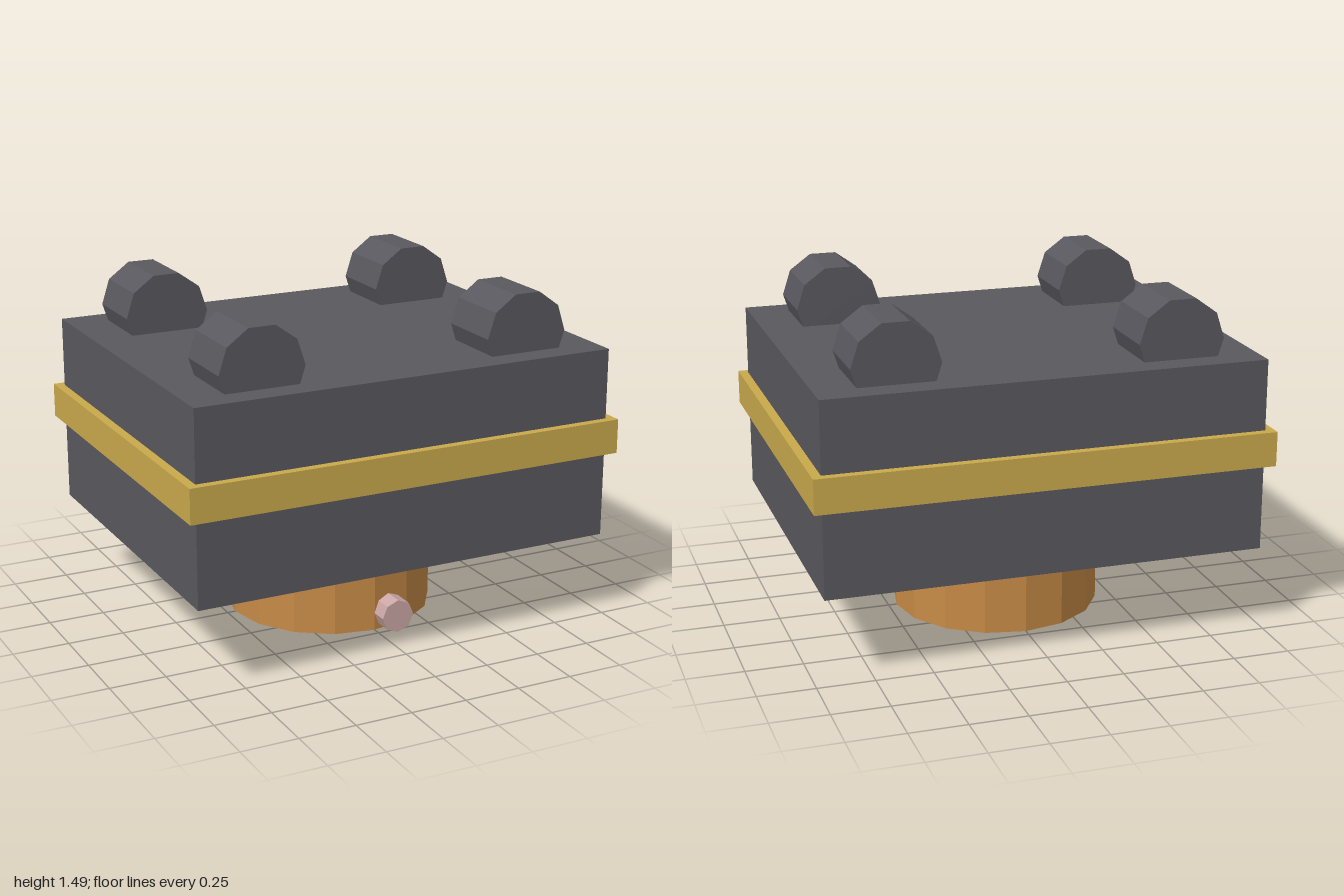
import * as THREE from 'three';

export function createModel() {
  const group = new THREE.Group();
  const material = (name, color) => {
    const m = new THREE.MeshStandardMaterial({ color });
    m.name = name;
    return m;
  };
  const grey = material('dark grey', 0x59585e);
  const gold = material('gold', 0xc9a94c);
  const bronze = material('bronze', 0xc68a46);
  const pink = material('dusty pink', 0xcba6a6);

  const add = (name, geometry, mat, x, y, z) => {
    const mesh = new THREE.Mesh(geometry, mat);
    mesh.name = name;
    mesh.position.set(x, y, z);
    group.add(mesh);
    return mesh;
  };
  // Faceted cylinder; alongZ lays its axis front to back
  const prism = (radius, length, sides, alongZ = false, turn = 0) => {
    const g = new THREE.CylinderGeometry(radius, radius, length, sides);
    g.rotateY(turn);
    if (alongZ) g.rotateX(Math.PI / 2);
    const flat = g.toNonIndexed();
    flat.computeVertexNormals();
    return flat;
  };

  // Body with the trim band around it
  add('body', new THREE.BoxGeometry(1.92, 0.845, 1.535), grey, 0, 0.8125, 0);
  add('trimBand', new THREE.BoxGeometry(2, 0.152, 1.61), gold, 0, 0.848, 0);

  // Round base and the small knob on its front
  add('base', prism(0.463, 0.4, 16), bronze, 0, 0.2, 0);
  add('knob', prism(0.075, 0.14, 8, true), pink, 0.074, 0.08, 0.47);

  // Four ten-sided lugs, half sunk into the top, flat side up
  const lug = prism(0.19, 0.308, 10, true, Math.PI / 10);
  for (const x of [-0.615, 0.615]) {
    for (const z of [-0.5, 0.5]) add('lug', lug, grey, x, 1.312, z);
  }
  return group;
}
